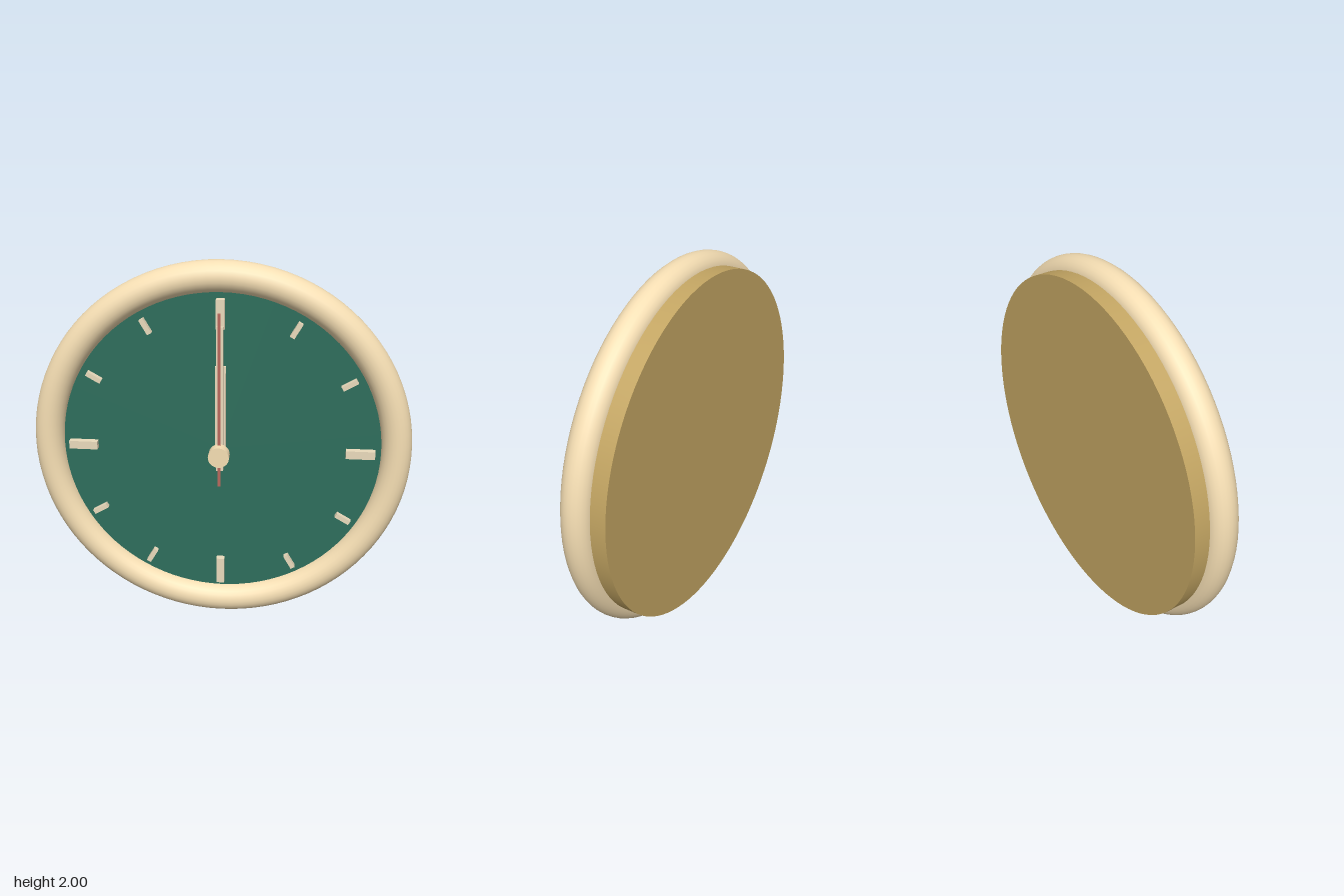
import * as THREE from 'three';

const CENTER_Y = 1;
const paint = (color) => new THREE.MeshStandardMaterial({ color });
const cream = paint(0xf5deb3);
const wood = paint(0xc4a663);
const green = paint(0x2e6e5c);
const ivory = paint(0xeadbbc);
const red = paint(0xb8685c);

export function createModel() {
  const clock = new THREE.Group();
  clock.name = 'wallClock';
  clock.position.y = CENTER_Y;

  const add = (name, geometry, material) => {
    const mesh = new THREE.Mesh(geometry, material);
    mesh.name = name;
    clock.add(mesh);
    return mesh;
  };

  // Round slab facing +z, from depth z0 to z1
  const disc = (name, radius, z0, z1, material, sides = 96) => {
    const geometry = new THREE.CylinderGeometry(radius, radius, z1 - z0, sides);
    geometry.rotateX(Math.PI / 2).translate(0, 0, (z0 + z1) / 2);
    return add(name, geometry, material);
  };

  // Upright bar spanning r0 to r1 from the centre, turned clockwise by angle
  const bar = (name, width, r0, r1, z0, z1, material, angle = 0) => {
    const geometry = new THREE.BoxGeometry(width, r1 - r0, z1 - z0);
    geometry.translate(0, (r0 + r1) / 2, (z0 + z1) / 2);
    add(name, geometry, material).rotation.z = -angle;
  };

  // Case, dial and rounded rim
  disc('backCase', 0.935, -0.155, 0, wood);
  disc('dial', 0.87, 0, 0.02, green);
  add('rim', new THREE.TorusGeometry(0.92, 0.08, 24, 96), cream).position.z = 0.008;

  // Hour markers, longer and wider at each quarter
  for (let i = 0; i < 12; i++) {
    const angle = (i * Math.PI) / 6;
    if (i % 3 === 0) bar('quarterMarker', 0.044, 0.658, 0.81, 0.02, 0.055, ivory, angle);
    else bar('hourMarker', 0.025, 0.72, 0.805, 0.02, 0.05, ivory, angle);
  }

  // Hands, stacked towards the front
  bar('hourHand', 0.056, -0.085, 0.46, 0.03, 0.046, ivory);
  bar('minuteHand', 0.036, -0.105, 0.68, 0.07, 0.086, ivory);
  bar('secondHand', 0.014, -0.18, 0.755, 0.103, 0.118, red);

  // Centre cap
  disc('centreCap', 0.055, 0.1, 0.155, cream, 32);

  const model = new THREE.Group();
  model.name = 'model';
  model.add(clock);
  return model;
}
